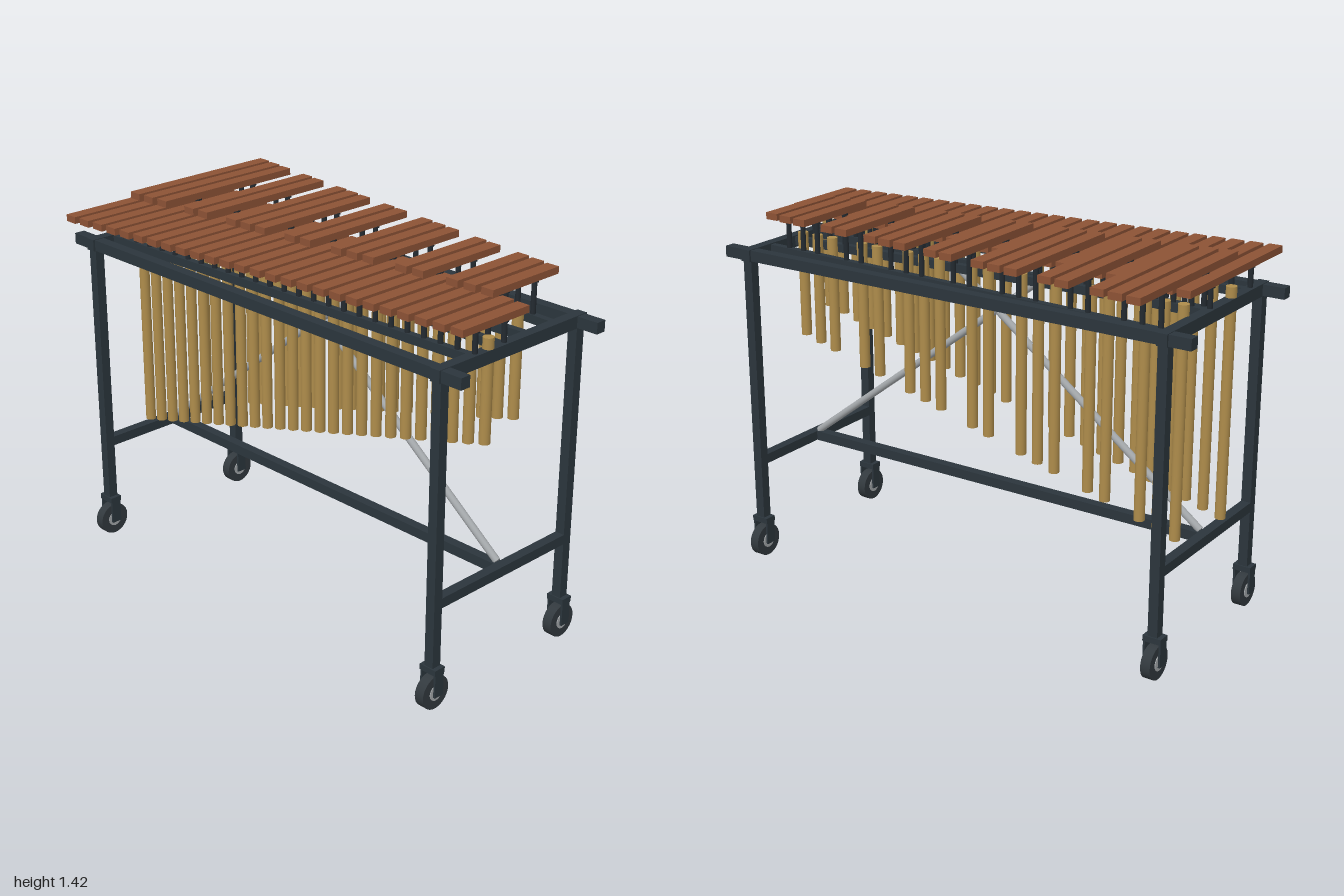
import * as THREE from 'three';

const material = (name, color) => {
  const m = new THREE.MeshStandardMaterial({ color });
  m.name = name;
  return m;
};

export function createModel() {
  const frameMat = material('dark frame', 0x2b353c);
  const postMat = material('post black', 0x232a30);
  const rubberMat = material('wheel rubber', 0x32393e);
  const steelMat = material('grey steel', 0xa3a7aa);
  const brassMat = material('brass', 0xae8c4b);
  const woodMat = material('rosewood', 0x8c5235);

  const model = new THREE.Group();
  model.name = 'marimba';

  const add = (parent, name, geometry, mat, x, y, z) => {
    const mesh = new THREE.Mesh(geometry, mat);
    mesh.name = name;
    mesh.position.set(x, y, z);
    parent.add(mesh);
    return mesh;
  };
  const box = (parent, name, mat, w, h, d, x, y, z) =>
    add(parent, name, new THREE.BoxGeometry(w, h, d), mat, x, y, z);
  const rod = (parent, name, mat, r, h, x, y, z, sides = 16) =>
    add(parent, name, new THREE.CylinderGeometry(r, r, h, sides), mat, x, y, z);
  const group = (name) => {
    const g = new THREE.Group();
    g.name = name;
    model.add(g);
    return g;
  };

  const END_X = 0.895, MID_Z = 0.022, HALF_Z = 0.342;
  const STEP = (2 * END_X) / 25;

  // Frame: two long rails, end crossbars, legs and a low stretcher
  const frame = group('frame');
  for (const s of [1, -1]) {
    const z = MID_Z + s * HALF_Z;
    box(frame, 'topRail', frameMat, 2, 0.042, 0.042, 0, 1.247, z);
    box(frame, 'topCrossbar', frameMat, 0.04, 0.046, 0.742, s * END_X, 1.247, MID_Z);
    box(frame, 'lowerCrossbar', frameMat, 0.038, 0.038, 2 * HALF_Z, s * END_X, 0.409, MID_Z);
    for (const x of [-END_X, END_X]) {
      box(frame, 'leg', frameMat, 0.038, 1.1, 0.038, x, 0.71, z);
    }
  }
  box(frame, 'lowerStretcher', frameMat, 2 * END_X, 0.038, 0.038, 0, 0.409, MID_Z);

  // Crossed diagonal braces above the stretcher
  for (const s of [1, -1]) {
    const dx = 1.05, dy = 0.8;
    const brace = rod(frame, 'diagonalBrace', steelMat, 0.014, Math.hypot(dx, dy),
      s * -0.35, 0.83, MID_Z + s * 0.002);
    brace.rotation.z = -s * Math.atan2(dx, dy);
  }

  // Casters: wheel, hub and fork under each leg
  for (const x of [-END_X, END_X]) {
    for (const s of [1, -1]) {
      const caster = group('caster');
      caster.position.set(x, 0, MID_Z + s * HALF_Z);
      rod(caster, 'wheel', rubberMat, 0.064, 0.038, 0, 0.064, 0, 28).rotation.z = Math.PI / 2;
      rod(caster, 'hub', steelMat, 0.03, 0.044, 0, 0.064, 0, 20).rotation.z = Math.PI / 2;
      rod(caster, 'axle', frameMat, 0.008, 0.07, 0, 0.064, 0, 10).rotation.z = Math.PI / 2;
      box(caster, 'forkTop', frameMat, 0.072, 0.022, 0.048, 0, 0.156, 0);
      for (const side of [1, -1]) {
        box(caster, 'forkSide', frameMat, 0.008, 0.1, 0.042, side * 0.031, 0.106, 0);
      }
    }
  }

  // Tone bars, their posts and resonator tubes; t runs 0..1 from low to high
  const addNote = (row, t, centreZ, length, barY, tubeZ) => {
    const x = -END_X + 2 * END_X * t;
    box(row, 'toneBar', woodMat, 0.052, 0.026, length, x, barY, centreZ);
    const barBottom = barY - 0.013;
    for (const s of [1, -1]) {
      const z = centreZ + s * 0.22 * length;
      const h = barBottom - 1.25;
      rod(row, 'barPost', postMat, 0.01, h, x, 1.25 + h / 2, z, 10);
      rod(row, 'postCap', postMat, 0.015, 0.012, x, barBottom - 0.006, z, 10);
    }
    const bottom = 0.44 + 0.49 * t;
    rod(row, 'resonatorTube', brassMat, 0.02, 1.31 - bottom, x, (1.31 + bottom) / 2, tubeZ, 20);
  };

  // Slanted support rails following the bars' nodes
  const addBarRails = (row, centreZ, lowLength, highLength) => {
    for (const s of [1, -1]) {
      const dz = s * 0.22 * (highLength - lowLength);
      const rail = box(row, 'barRail', frameMat, Math.hypot(2 * END_X, dz), 0.032, 0.026,
        0, 1.25, centreZ + s * 0.11 * (lowLength + highLength));
      rail.rotation.y = -Math.atan2(dz, 2 * END_X);
    }
  };

  const naturals = group('naturalRow');
  const sharps = group('sharpRow');
  addBarRails(naturals, 0.132, 0.686, 0.325);
  addBarRails(sharps, -0.142, 0.68, 0.318);
  for (let i = 0; i <= 25; i++) {
    const t = i / 25;
    addNote(naturals, t, 0.132, 0.686 - 0.361 * t, 1.368, 0.138);
    // Raised bars come in groups of three and two
    if (i < 25 && i % 7 !== 3 && i % 7 !== 6) {
      const u = (i + 0.5) * STEP / (2 * END_X);
      addNote(sharps, u, -0.142, 0.68 - 0.362 * u, 1.406, -0.137);
    }
  }
  return model;
}
